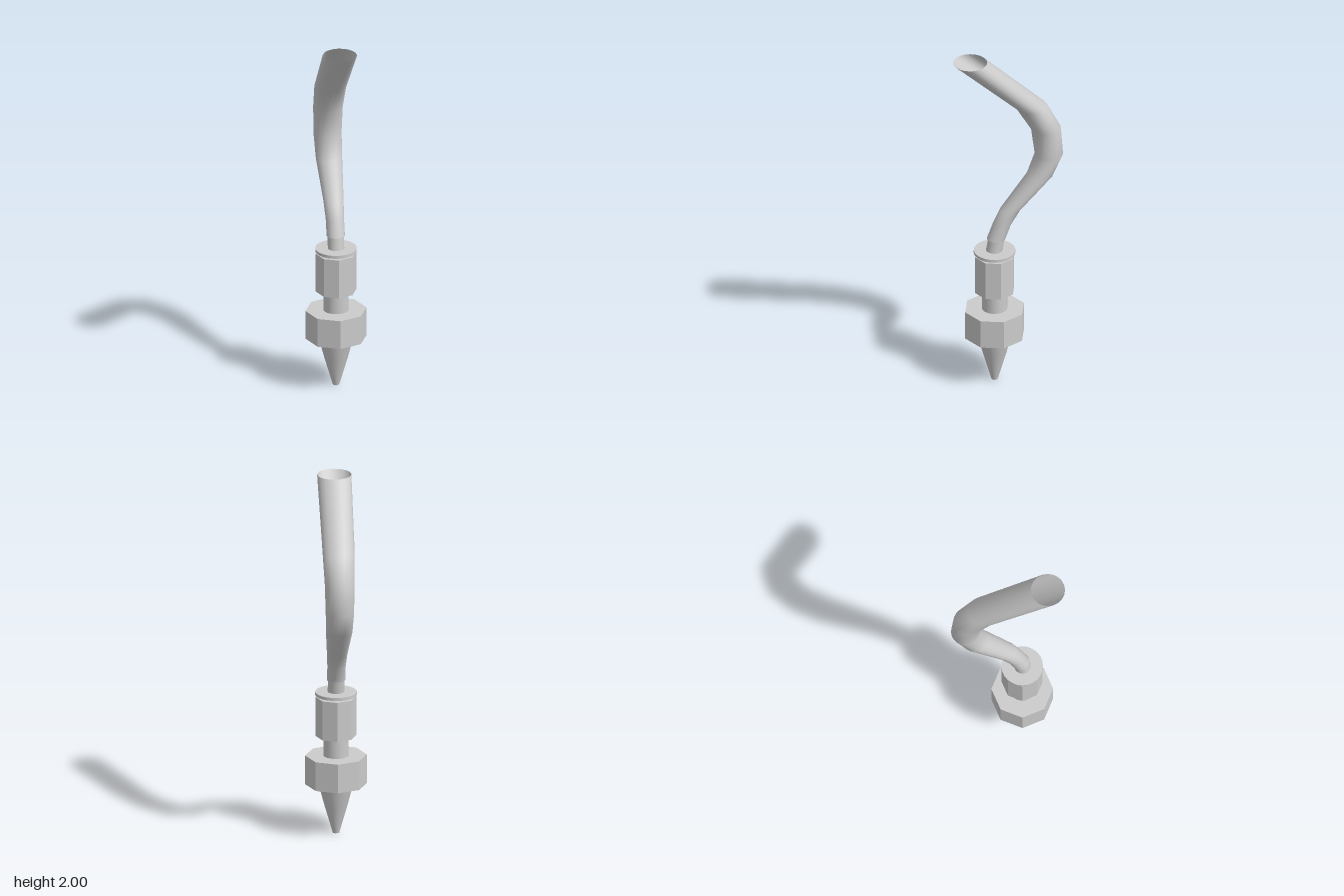
import * as THREE from 'three';

const AXIS_Z = 0.078;

export function createModel() {
  const model = new THREE.Group();
  const smooth = new THREE.MeshStandardMaterial({ color: 0xcccccc });
  const flat = new THREE.MeshStandardMaterial({ color: 0xcccccc, flatShading: true });
  const open = new THREE.MeshStandardMaterial({ color: 0xcccccc, side: THREE.DoubleSide });

  const add = (name, geometry, material) => {
    const mesh = new THREE.Mesh(geometry, material);
    mesh.name = name;
    model.add(mesh);
    return mesh;
  };

  // Upright cylinder between two heights on the fitting's axis
  const post = (name, y0, y1, r, sides, material) => {
    const mesh = add(name, new THREE.CylinderGeometry(r, r, y1 - y0, sides), material);
    mesh.position.set(0, (y0 + y1) / 2, AXIS_Z);
  };

  // Surface through level rings given as [y, z, radius]
  const loft = (rings, sides) => {
    const g = new THREE.CylinderGeometry(1, 1, 1, sides, rings.length - 1, true);
    const p = g.attributes.position;
    for (let i = 0; i < p.count; i++) {
      const row = Math.floor(i / (sides + 1));
      const [y, z, r] = rings[rings.length - 1 - row];
      p.setXYZ(i, p.getX(i) * r, y, z + p.getZ(i) * r);
    }
    g.computeVertexNormals();
    // Match the normals along the seam
    const n = g.attributes.normal;
    for (let row = 0; row < rings.length; row++) {
      const a = row * (sides + 1), b = a + sides;
      const v = new THREE.Vector3().fromBufferAttribute(n, a)
        .add(new THREE.Vector3().fromBufferAttribute(n, b)).normalize();
      n.setXYZ(a, v.x, v.y, v.z);
      n.setXYZ(b, v.x, v.y, v.z);
    }
    return g;
  };

  // Tapered tip with a blunt end
  const profile = [[0.018, 0], [0.064, 0.16], [0.094, 0.274]].map(([r, y]) => new THREE.Vector2(r, y));
  const tip = add('nozzleTip', new THREE.LatheGeometry(profile, 20), smooth);
  tip.position.z = AXIS_Z;
  post('tipEnd', 0, 0.004, 0.018, 20, smooth);
  post('tipShoulder', 0.268, 0.28, 0.094, 20, smooth);

  // Fitting: nut, stem, collar and flange
  post('octagonalNut', 0.278, 0.442, 0.167, 8, flat);
  post('stem', 0.44, 0.556, 0.069, 24, smooth);
  post('octagonalCollar', 0.553, 0.776, 0.111, 8, flat);
  post('flangeNeck', 0.774, 0.792, 0.07, 24, smooth);
  post('flange', 0.788, 0.805, 0.113, 24, smooth);

  // Leaning neck that enters the hose
  add('hoseNeck', loft([[0.803, 0.08, 0.045], [0.9, 0.062, 0.045]], 20), open);

  // Curved hose, widening to its open end
  const hose = [
    [0.875, 0.069, 0.05], [0.96, 0.036, 0.05], [1.042, -0.01, 0.055], [1.23, -0.178, 0.072],
    [1.355, -0.231, 0.077], [1.518, -0.214, 0.081], [1.668, -0.132, 0.087], [2, 0.217, 0.093],
  ];
  add('hose', loft(hose, 20), open);

  return model;
}
